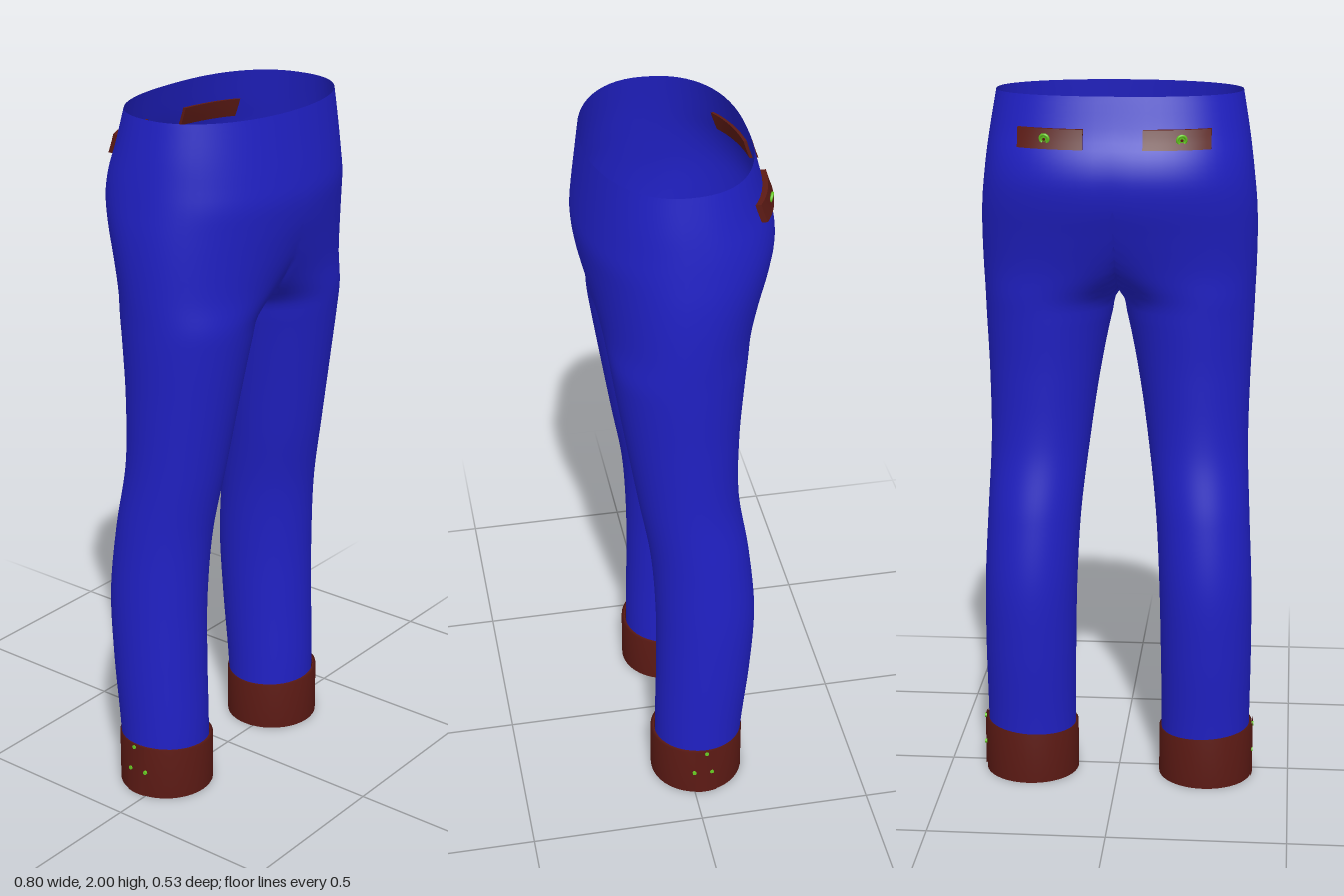
import * as THREE from 'three';
import { mergeVertices } from 'three/addons/utils/BufferGeometryUtils.js';

const mat = (color) => new THREE.MeshStandardMaterial({ color, side: THREE.DoubleSide });

// Profile by height: y, outer x, inner x, front z, back z.
// A negative inner x means the two leg tubes overlap and form the hips.
const ROWS = [
  [0.08, 0.383, 0.127, 0.093, -0.155],
  [0.2, 0.384, 0.127, 0.094, -0.165],
  [0.4, 0.386, 0.124, 0.09, -0.185],
  [0.6, 0.384, 0.119, 0.09, -0.195],
  [0.8, 0.375, 0.108, 0.102, -0.177],
  [1.0, 0.367, 0.085, 0.135, -0.147],
  [1.2, 0.37, 0.056, 0.167, -0.148],
  [1.38, 0.378, 0.02, 0.195, -0.163],
  [1.44, 0.38, -0.002, 0.203, -0.17],
  [1.52, 0.383, -0.13, 0.214, -0.188],
  [1.62, 0.384, -0.29, 0.238, -0.222],
  [1.7, 0.381, -0.381, 0.257, -0.25],
  [1.77, 0.374, -0.374, 0.265, -0.261],
  [1.83, 0.367, -0.367, 0.26, -0.253],
  [1.9, 0.357, -0.357, 0.251, -0.229],
  [2.0, 0.34, -0.34, 0.238, -0.202],
];

// Smooth (Hermite) reading of the profile at any height
function profile(y) {
  const last = ROWS.length - 1;
  let k = 0;
  while (k < last - 1 && y > ROWS[k + 1][0]) k++;
  const a = ROWS[k], b = ROWS[k + 1], h = b[0] - a[0], t = (y - a[0]) / h;
  const slope = (i, c) => {
    const p = ROWS[Math.max(i - 1, 0)], q = ROWS[Math.min(i + 1, last)];
    return (q[c] - p[c]) / (q[0] - p[0]);
  };
  const [outer, inner, front, back] = [1, 2, 3, 4].map((c) =>
    (1 + 2 * t) * (1 - t) ** 2 * a[c] + t * (1 - t) ** 2 * h * slope(k, c) +
    t * t * (3 - 2 * t) * b[c] + t * t * (t - 1) * h * slope(k + 1, c));
  const hip = THREE.MathUtils.smoothstep(y, 1.35, 1.75);
  return {
    cx: (outer + inner) / 2, rx: (outer - inner) / 2,
    cz: (front + back) / 2, rz: (front - back) / 2,
    eFront: 1 - 0.05 * hip, eBack: 1 - 0.17 * hip,
  };
}

const power = (v, e) => Math.sign(v) * Math.abs(v) ** e;

// Both legs and the hips as one skin, joined along the middle seam
function trouserGeometry() {
  const N = 64, M = 96, pos = [], index = [];
  for (const side of [1, -1]) {
    const base = pos.length / 3;
    for (let j = 0; j <= M; j++) {
      const y = 0.08 + (1.92 * j) / M, p = profile(y);
      for (let i = 0; i < N; i++) {
        const a = (i / N) * Math.PI * 2;
        const e = Math.sin(a) > 0 ? p.eFront : p.eBack;
        const x = p.cx + p.rx * power(Math.cos(a), e);
        pos.push(x < 1e-5 ? 0 : side * x, y, p.cz + p.rz * power(Math.sin(a), e));
      }
    }
    const add = (a, b, c) => {
      // leave out the hidden wall between the two halves
      if (pos[a * 3] === 0 && pos[b * 3] === 0 && pos[c * 3] === 0) return;
      if (side > 0) index.push(a, b, c);
      else index.push(a, c, b);
    };
    for (let j = 0; j < M; j++) {
      for (let i = 0; i < N; i++) {
        const a = base + j * N + i, b = base + j * N + ((i + 1) % N);
        add(a, a + N, b);
        add(b, a + N, b + N);
      }
    }
  }
  let g = new THREE.BufferGeometry();
  g.setAttribute('position', new THREE.Float32BufferAttribute(pos, 3));
  g.setIndex(index);
  g = mergeVertices(g, 1e-5);
  g.computeVertexNormals();
  return g;
}

// Depth of the seat surface at a given x and height
function seatZ(x, y) {
  const p = profile(y);
  const c = Math.min(Math.abs(x) / p.rx, 1) ** (1 / p.eBack);
  return p.cz - p.rz * (1 - c * c) ** (p.eBack / 2);
}

export function createModel() {
  const model = new THREE.Group();
  const blue = mat(0x2020c4), brown = mat(0x5c1a14), green = mat(0x66cc22);
  const add = (parent, name, geometry, material) => {
    const m = new THREE.Mesh(geometry, material);
    m.name = name;
    parent.add(m);
    return m;
  };

  add(model, 'trousers', trouserGeometry(), blue);

  for (const s of [1, -1]) {
    const label = s > 0 ? 'left' : 'right';

    // Turned-up cuff, slightly higher on the outside
    const cuff = new THREE.Group();
    cuff.name = label + 'Cuff';
    cuff.position.set(s * 0.256, 0, -0.028);
    model.add(cuff);
    const R = 0.136;
    const outline = [[0.129, 0.152], [0.128, 0], [R, 0], [R, 0.152], [0.126, 0.152]]
      .map(([r, y]) => new THREE.Vector2(r, y));
    const band = new THREE.LatheGeometry(outline, 40).toNonIndexed();
    const bp = band.attributes.position;
    for (let i = 0; i < bp.count; i++) {
      if (bp.getY(i) > 0.1) bp.setY(i, bp.getY(i) + (0.008 * s * bp.getX(i)) / R);
    }
    add(cuff, 'cuffBand', band, brown);

    // Overlapping tab and small buttons on the outer side
    const start = s > 0 ? Math.PI / 2 - 0.2 : -Math.PI / 2 - 0.27;
    const tab = add(cuff, 'cuffTab',
      new THREE.CylinderGeometry(R + 0.003, R + 0.003, 0.162, 8, 1, true, start, 0.47), brown);
    tab.position.y = 0.082;
    for (const [y, z] of [[0.08, 0.03], [0.08, -0.022], [0.155, -0.006]]) {
      const stud = add(cuff, 'cuffButton', new THREE.CylinderGeometry(0.006, 0.006, 0.006, 12), green);
      stud.rotation.z = Math.PI / 2;
      stud.position.set(s * (Math.sqrt(R * R - z * z) + 0.003), y, z);
    }

    // Back pocket welt bent to follow the seat
    const welt = new THREE.BoxGeometry(0.18, 0.052, 0.024, 14, 3, 1);
    welt.translate(s * 0.17, 1.89, 0);
    const wp = welt.attributes.position;
    for (let i = 0; i < wp.count; i++) {
      wp.setZ(i, wp.getZ(i) - 0.003 + seatZ(wp.getX(i), wp.getY(i)));
    }
    welt.computeVertexNormals();
    add(model, label + 'PocketWelt', welt, brown);

    // Pocket button: a rim around a recessed disc
    const button = new THREE.Group();
    button.name = label + 'PocketButton';
    const bx = s * 0.183;
    button.position.set(bx, 1.89, seatZ(bx, 1.89) - 0.017);
    button.rotation.set(-0.25, -s * 0.3, 0);
    model.add(button);
    add(button, 'buttonRim', new THREE.TorusGeometry(0.012, 0.004, 8, 20), green);
    const disc = add(button, 'buttonDisc', new THREE.CylinderGeometry(0.012, 0.012, 0.004, 20), green);
    disc.rotation.x = Math.PI / 2;
    const centre = add(button, 'buttonCentre', new THREE.CylinderGeometry(0.004, 0.004, 0.007, 10), brown);
    centre.rotation.x = Math.PI / 2;
  }
  return model;
}
